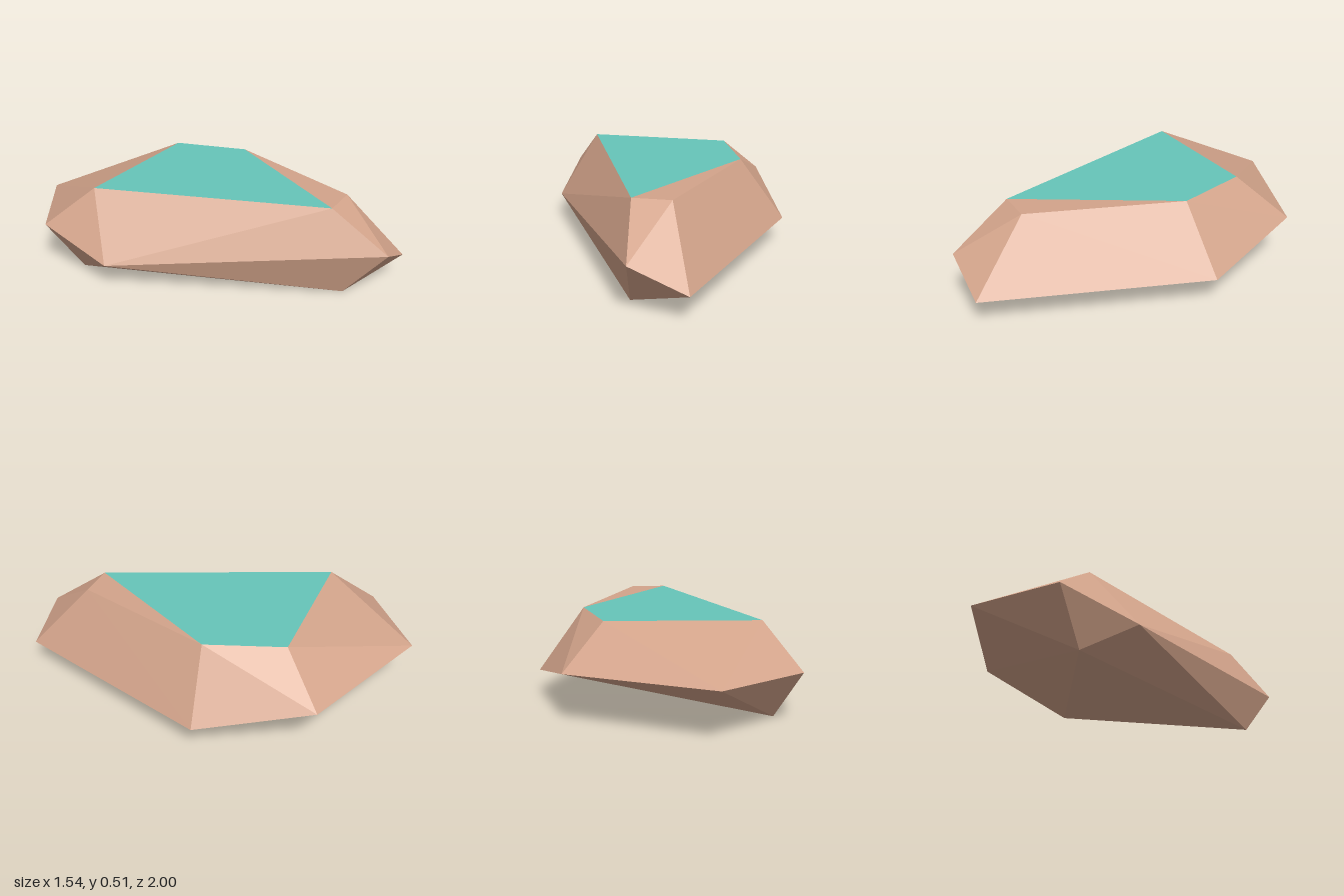
import * as THREE from 'three';

// Stone corners, ring by ring
const TOP = 0.51, HIGH = 0.285, LOW = 0.15;
const corners = {
  // flat crown
  A: [-0.53, TOP, -0.39], B: [0.28, TOP, -0.61], C: [0.53, TOP, -0.24],
  D: [0.30, TOP, 0.69], E: [0.50, TOP, 0.63],
  // girdle
  F: [-0.43, HIGH, -1.0], G: [0.41, HIGH, -0.885], H: [0.77, LOW, -0.35],
  I: [0.72, LOW, 0.90], J: [0.435, HIGH, 0.995], K: [-0.66, LOW, -0.14],
  L: [-0.77, HIGH, -0.57],
  // bottom ridge
  M: [0.34, 0, 0.78], N: [-0.605, 0, -0.44],
};

// Flat facets from corner triples, each turned to face away from the stone's middle
function facets(triples) {
  const middle = new THREE.Vector3(0, 0.26, -0.05);
  const positions = [];
  for (const triple of triples.split(' ')) {
    const points = [...triple].map((k) => new THREE.Vector3(...corners[k]));
    const triangle = new THREE.Triangle(...points);
    const normal = triangle.getNormal(new THREE.Vector3());
    if (normal.dot(points[0].clone().sub(middle)) < 0) points.reverse();
    points.forEach((p) => positions.push(p.x, p.y, p.z));
  }
  const geometry = new THREE.BufferGeometry();
  geometry.setAttribute('position', new THREE.Float32BufferAttribute(positions, 3));
  geometry.computeVertexNormals();
  return geometry;
}

export function createModel() {
  const brown = new THREE.MeshStandardMaterial({ color: 0xd2a38a });
  brown.name = 'clayBrown';
  const teal = new THREE.MeshStandardMaterial({ color: 0x66c5b9 });
  teal.name = 'teal';

  const model = new THREE.Group();
  model.name = 'rock';
  const add = (name, triples, material) => {
    const mesh = new THREE.Mesh(facets(triples), material);
    mesh.name = name;
    model.add(mesh);
  };

  add('topFacet', 'ABC ACD', teal);
  add('topEdge', 'CDE', brown);
  add('upperSides', 'LAF FAB FBG GBC GCH HCE HEI EJI DJE KDJ KAD LKA', brown);
  add('underside', 'IHM HMN HNG GNF FNL LNK KNM KMJ JMI', brown);
  return model;
}
